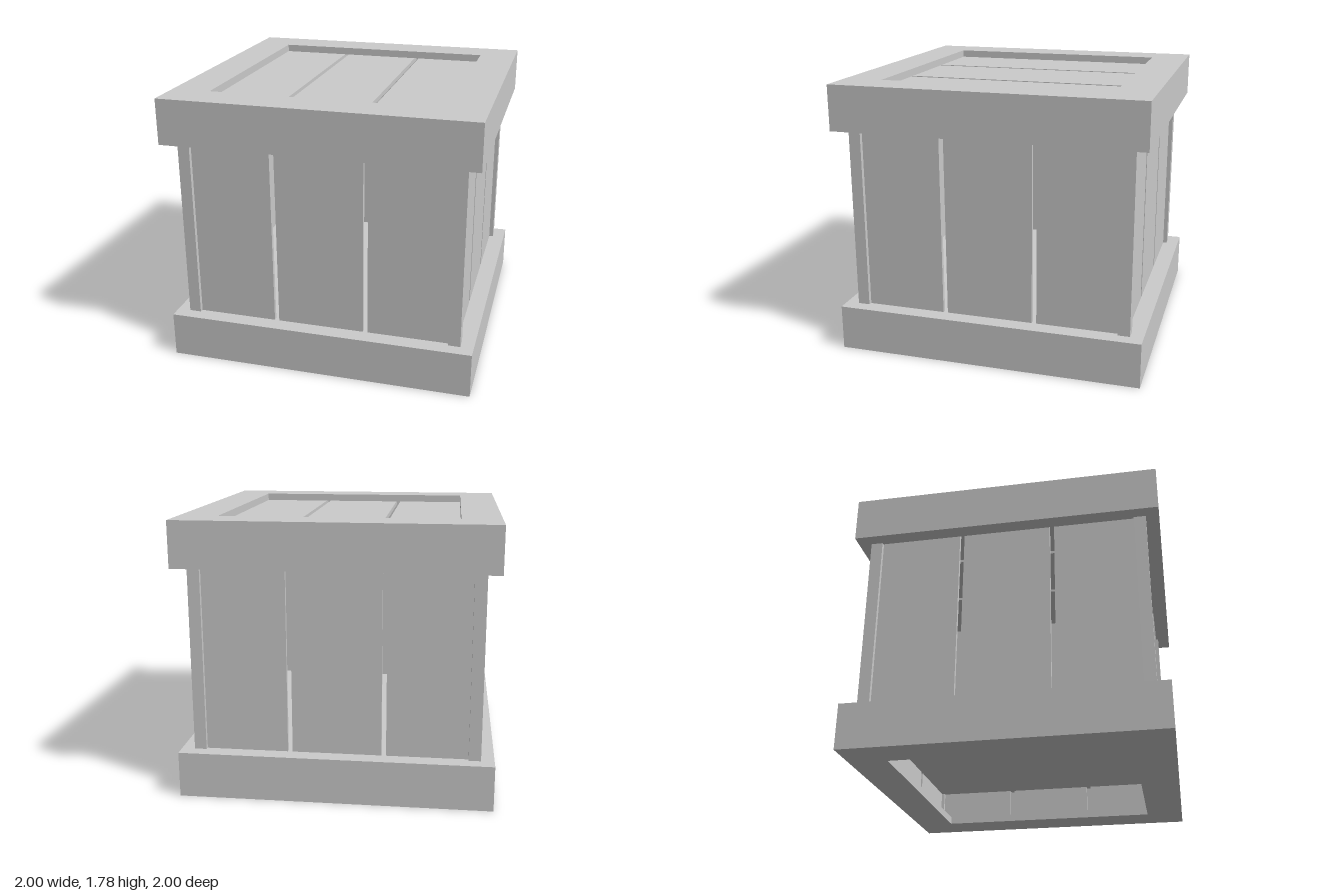
import * as THREE from 'three';

const material = new THREE.MeshStandardMaterial({ color: 0xcccccc, flatShading: true });

const HEIGHT = 1.78;
const LIP = 0.05;      // thickness of the rim lip
const BAND = 0.295;    // height of the base and the lid

function addBox(parent, name, [x0, x1], [y0, y1], [z0, z1]) {
  const mesh = new THREE.Mesh(new THREE.BoxGeometry(x1 - x0, y1 - y0, z1 - z0), material);
  mesh.position.set((x0 + x1) / 2, (y0 + y1) / 2, (z0 + z1) / 2);
  mesh.name = name;
  parent.add(mesh);
  return mesh;
}

// Flat square ring lying in the xz plane from y0 to y1
function addRing(parent, name, outer, inner, y0, y1) {
  const square = (Type, r) => new Type([
    new THREE.Vector2(-r, -r), new THREE.Vector2(r, -r),
    new THREE.Vector2(r, r), new THREE.Vector2(-r, r),
  ]);
  const shape = square(THREE.Shape, outer);
  shape.holes.push(square(THREE.Path, inner));
  const geometry = new THREE.ExtrudeGeometry(shape, { depth: y1 - y0, bevelEnabled: false });
  geometry.rotateX(-Math.PI / 2);
  const mesh = new THREE.Mesh(geometry, material);
  mesh.position.y = y0;
  mesh.name = name;
  parent.add(mesh);
}

export function createModel() {
  const crate = new THREE.Group();
  crate.name = 'crate';

  // Base: lip below, band above it
  const base = new THREE.Group();
  base.name = 'base';
  addRing(base, 'baseLip', 1, 0.75, 0, LIP);
  addRing(base, 'baseBand', 1, 0.9, LIP, BAND);
  addBox(base, 'floorPanel', [-0.9, 0.9], [BAND - 0.025, BAND - 0.003], [-0.9, 0.9]);
  crate.add(base);

  // Lid: band with a lip on top and recessed planks under the lip
  const lid = new THREE.Group();
  lid.name = 'lid';
  addRing(lid, 'lidBand', 1, 0.9, HEIGHT - BAND, HEIGHT - LIP);
  addRing(lid, 'lidLip', 1, 0.75, HEIGHT - LIP, HEIGHT);
  for (const [x0, x1] of [[-0.81, -0.29], [-0.26, 0.255], [0.285, 0.81]]) {
    addBox(lid, 'lidPlank', [x0, x1], [HEIGHT - LIP - 0.03, HEIGHT - LIP], [-0.84, 0.84]);
  }
  crate.add(lid);

  // Square corner posts
  for (const sx of [-1, 1]) {
    for (const sz of [-1, 1]) {
      const post = addBox(crate, 'cornerPost', [-0.0385, 0.0385], [LIP, HEIGHT - LIP], [-0.0385, 0.0385]);
      post.position.x = sx * 0.877;
      post.position.z = sz * 0.877;
    }
  }

  // Three upright planks per wall, set back a little from the posts
  const wallY = [LIP, HEIGHT - LIP];
  for (const side of [-1, 1]) {
    const depth = side > 0 ? [0.86, 0.887] : [-0.887, -0.86];
    for (const [a, b] of [[-0.86, -0.32], [-0.29, 0.28], [0.31, 0.86]]) {
      addBox(crate, side > 0 ? 'frontPlank' : 'backPlank', [a, b], wallY, depth);
      addBox(crate, side > 0 ? 'leftPlank' : 'rightPlank', depth, wallY, [-b, -a]);
    }
  }

  return crate;
}
